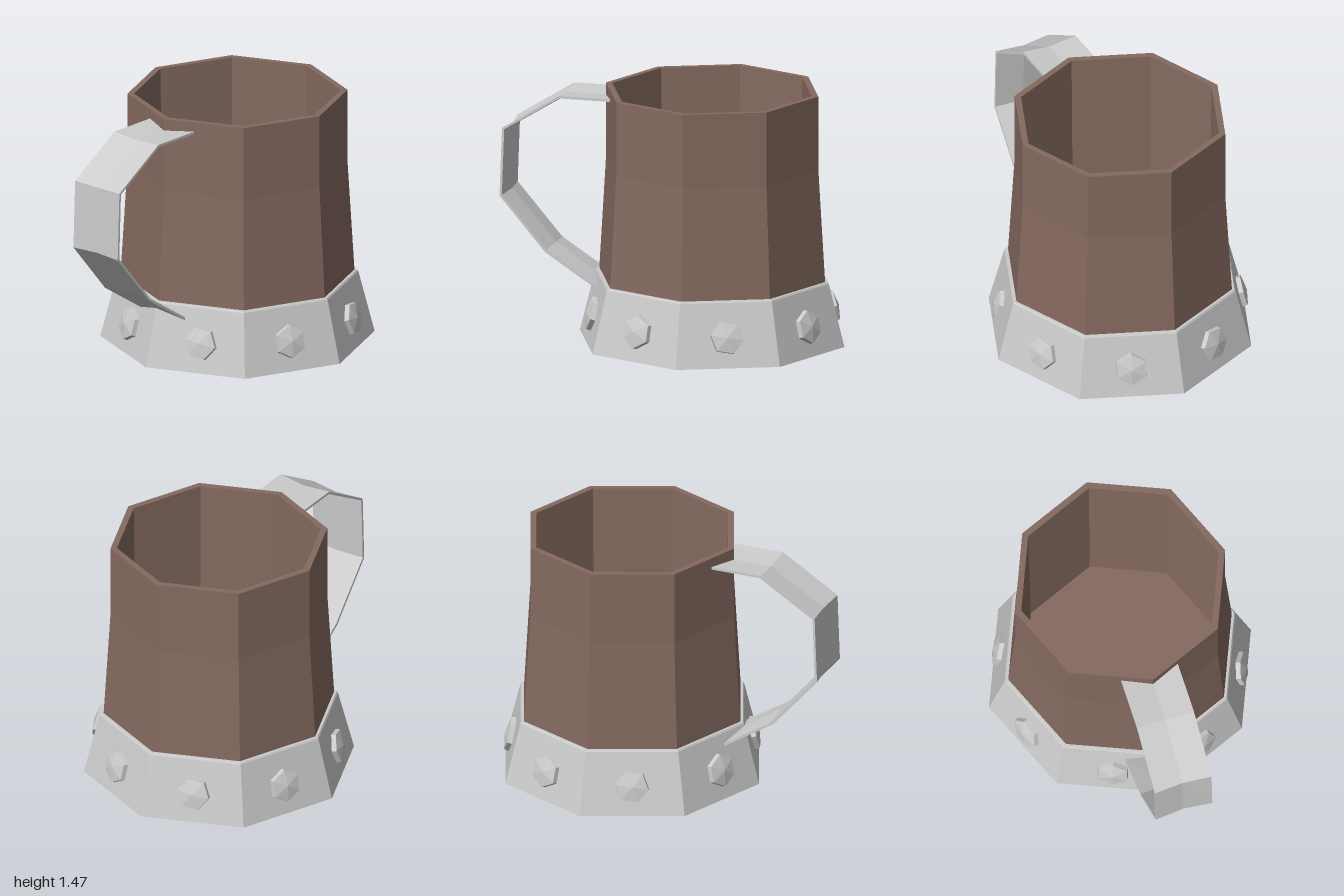
import * as THREE from 'three';

const CENTRE_Z = -0.215;
const metal = new THREE.MeshStandardMaterial({ color: 0xcccccc, flatShading: true });
const wood = new THREE.MeshStandardMaterial({ color: 0x856a60, flatShading: true });

// Revolve [radius, height] pairs into a faceted solid
function turned(name, profile, sides, material) {
  const points = profile.map(([r, y]) => new THREE.Vector2(r, y));
  const mesh = new THREE.Mesh(new THREE.LatheGeometry(points, sides), material);
  mesh.name = name;
  return mesh;
}

// Bent strap: each station is a closed ring of six points, joined by quads
function strapGeometry(stations, halfWidth, thickness) {
  const rings = stations.map(([z, y, zMid, yMid], i) => {
    const a = stations[Math.max(i - 1, 0)];
    const b = stations[Math.min(i + 1, stations.length - 1)];
    const n = new THREE.Vector2(b[1] - a[1], a[0] - b[0]).normalize().multiplyScalar(thickness);
    return [
      [-halfWidth, y, z], [0, yMid, zMid], [halfWidth, y, z],
      [halfWidth, y + n.y, z + n.x], [0, yMid + n.y, zMid + n.x], [-halfWidth, y + n.y, z + n.x],
    ];
  });
  const pos = [];
  const quad = (a, b, c, d) => pos.push(...a, ...b, ...c, ...a, ...c, ...d);
  for (let i = 0; i < rings.length - 1; i++) {
    for (let j = 0; j < 6; j++) {
      const k = (j + 1) % 6;
      quad(rings[i][j], rings[i + 1][j], rings[i + 1][k], rings[i][k]);
    }
  }
  // End caps
  const first = rings[0], last = rings[rings.length - 1];
  for (const j of [0, 1]) {
    quad(first[j], first[j + 1], first[4 - j], first[5 - j]);
    quad(last[5 - j], last[4 - j], last[j + 1], last[j]);
  }
  const geometry = new THREE.BufferGeometry();
  geometry.setAttribute('position', new THREE.Float32BufferAttribute(pos, 3));
  geometry.computeVertexNormals();
  return geometry;
}

export function createModel() {
  const model = new THREE.Group();
  model.name = 'tankard';

  const vessel = new THREE.Group();
  vessel.name = 'vessel';
  vessel.position.z = CENTRE_Z;
  model.add(vessel);

  // Hollow wooden cup with a recessed underside
  vessel.add(turned('cup', [
    [0, 0.15], [0.55, 0.045], [0.765, 0.03], [0.785, 0],
    [0.67, 0.37], [0.63, 1.03], [0.63, 1.465],
    [0.592, 1.465], [0.575, 0.2], [0, 0.2],
  ], 8, wood));

  // Flared metal band around the foot
  vessel.add(turned('baseBand', [
    [0.785, 0], [0.692, 0.365], [0.685, 0.375], [0.655, 0.375],
  ], 8, metal));

  // One hexagonal stud on each face of the band
  const slope = 0.236;
  for (let i = 0; i < 8; i++) {
    const pivot = new THREE.Group();
    pivot.name = 'studPivot';
    pivot.rotation.y = (i + 0.5) * Math.PI / 4;
    const stud = turned('stud', [[0.1, -0.01], [0.095, 0.028], [0, 0.045]], 6, metal);
    stud.geometry.rotateY(i % 2 ? 0 : 0.35);
    stud.position.set(i === 0 || i === 7 ? 0.02 : 0, 0.17, 0.685);
    stud.rotation.x = Math.PI / 2 - slope;
    pivot.add(stud);
    vessel.add(pivot);
  }

  // Strap handle: edge z, edge y, centre z, centre y at each bend
  const handle = new THREE.Mesh(strapGeometry([
    [0.345, 1.41, 0.4, 1.395],
    [0.65, 1.41, 0.645, 1.395],
    [0.985, 1.2, 0.97, 1.192],
    [1.0, 0.8, 0.985, 0.803],
    [0.73, 0.485, 0.72, 0.497],
    [0.42, 0.285, 0.48, 0.335],
  ], 0.17, 0.015), metal);
  handle.name = 'handle';
  model.add(handle);

  return model;
}
